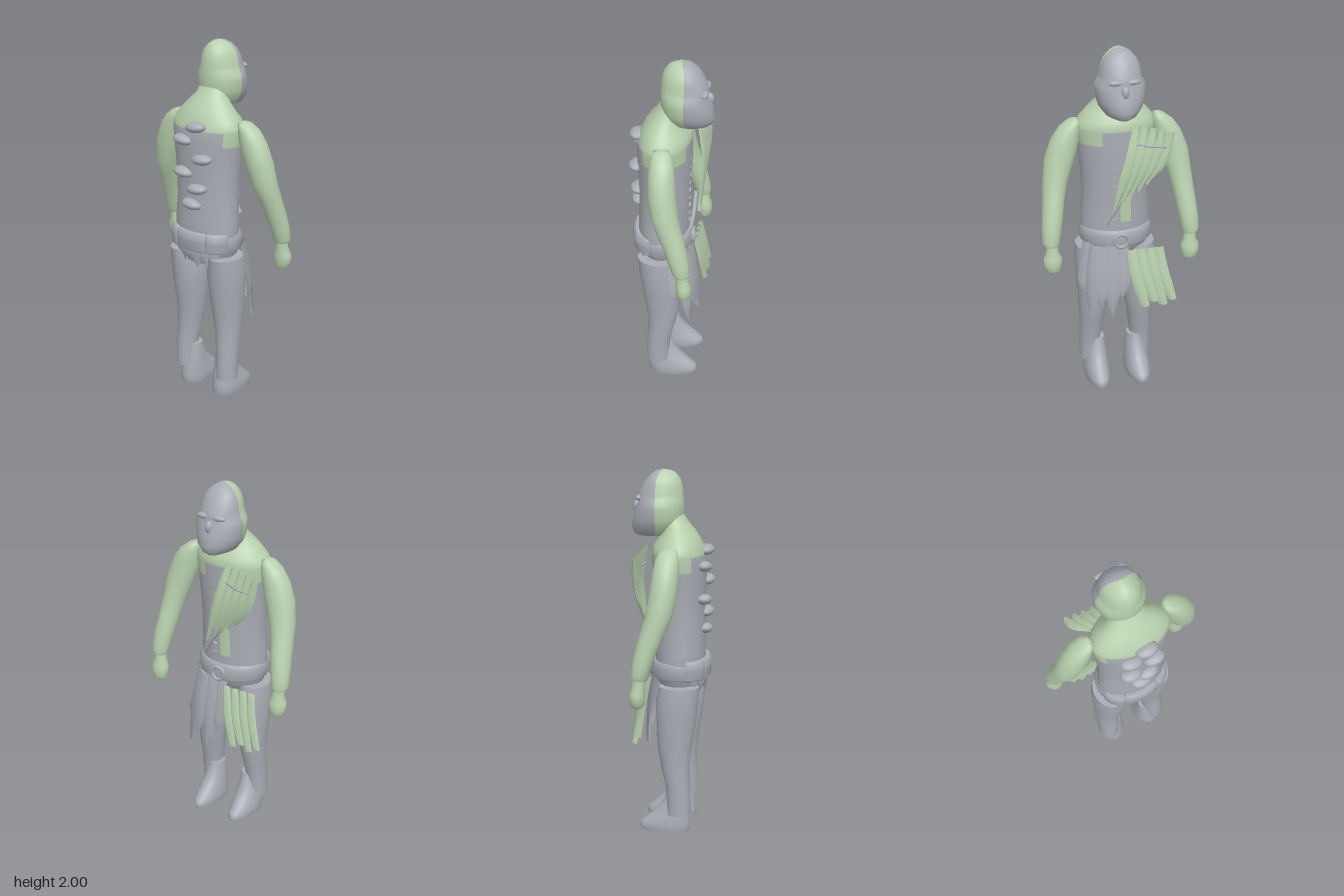
import * as THREE from 'three';

const skin = new THREE.MeshStandardMaterial({ color: 0xb9d1ae, side: THREE.DoubleSide });
skin.name = 'pale green';
const cloth = new THREE.MeshStandardMaterial({ color: 0xa9adb4, side: THREE.DoubleSide });
cloth.name = 'grey';

const mesh = (name, geo, mat, parent) => {
  const m = new THREE.Mesh(geo, mat);
  m.name = name;
  parent.add(m);
  return m;
};

// Body form through elliptical sections [y, cx, cz, rx, rz toward -z, rz toward +z];
// paint(angle, y) picks material 0 or 1 for each face
function loft(sections, paint = () => 0, n = 32) {
  const s = [...sections].sort((a, b) => a[0] - b[0]);
  const pos = [], faces = [[], []];
  const ring = ([y, cx, cz, rx, rf, rb = rf]) => {
    for (let j = 0; j < n; j++) {
      const a = (j / n) * Math.PI * 2, sn = Math.sin(a);
      pos.push(cx + rx * Math.cos(a), y, cz + (sn < 0 ? rf : rb) * sn);
    }
  };
  s.forEach(ring);
  for (let i = 0; i < s.length - 1; i++) for (let j = 0; j < n; j++) {
    const k = (j + 1) % n, A = i * n + j, B = i * n + k, C = A + n, D = B + n;
    faces[paint(((j + 0.5) / n) * Math.PI * 2, (s[i][0] + s[i + 1][0]) / 2)].push(A, C, B, B, C, D);
  }
  // flat end caps on their own vertices
  [s[0], s[s.length - 1]].forEach((sec, top) => {
    const base = pos.length / 3;
    ring(sec);
    pos.push(sec[1], sec[0], sec[2]);
    for (let j = 0; j < n; j++) {
      const k = (j + 1) % n;
      faces[paint(((j + 0.5) / n) * Math.PI * 2, sec[0])].push(base + n, ...(top ? [base + k, base + j] : [base + j, base + k]));
    }
  });
  const g = new THREE.BufferGeometry();
  g.setAttribute('position', new THREE.Float32BufferAttribute(pos, 3));
  g.setIndex([...faces[0], ...faces[1]]);
  g.addGroup(0, faces[0].length, 0);
  g.addGroup(faces[0].length, faces[1].length, 1);
  g.computeVertexNormals();
  return g;
}

// Folded hanging strip along a bent path, widths given along its length
function strip(from, mid, to, side, widths, fold) {
  const rows = 10, pos = [], idx = [];
  const path = new THREE.CatmullRomCurve3([from, mid, to].map(p => new THREE.Vector3(...p)));
  const across = new THREE.Vector3(...side).normalize();
  for (let i = 0; i <= rows; i++) {
    const t = i / rows, p = path.getPoint(t), f = t * (widths.length - 1);
    const q = Math.min(Math.floor(f), widths.length - 2);
    const w = THREE.MathUtils.lerp(widths[q], widths[q + 1], f - q);
    const out = new THREE.Vector3().crossVectors(across, path.getTangent(t)).normalize();
    if (out.z > 0) out.negate();
    [-0.5, 0, 0.5].forEach(u => {
      const v = p.clone().addScaledVector(across, u * w).addScaledVector(out, u ? 0 : fold);
      pos.push(v.x, v.y, v.z);
    });
    if (i) for (let c = 0; c < 2; c++) {
      const a = (i - 1) * 3 + c;
      idx.push(a, a + 3, a + 1, a + 1, a + 3, a + 4);
    }
  }
  const g = new THREE.BufferGeometry();
  g.setAttribute('position', new THREE.Float32BufferAttribute(pos, 3));
  g.setIndex(idx);
  g.computeVertexNormals();
  return g;
}

export function createModel() {
  const root = new THREE.Group();
  root.name = 'figure';

  // Head: green behind, grey mask on the face side
  mesh('head', loft([
    [1.645, 0, -0.09, 0.05, 0.1, 0.04], [1.66, 0, -0.08, 0.085, 0.13, 0.08],
    [1.7, 0, -0.075, 0.115, 0.148, 0.12], [1.74, 0, -0.075, 0.128, 0.135, 0.135],
    [1.79, 0, -0.075, 0.133, 0.13, 0.138], [1.82, 0, -0.075, 0.131, 0.112, 0.138],
    [1.845, 0, -0.075, 0.116, 0.115, 0.136], [1.87, 0, -0.075, 0.108, 0.107, 0.134],
    [1.91, 0, -0.075, 0.103, 0.09, 0.13], [1.95, 0, -0.072, 0.087, 0.068, 0.115],
    [1.98, 0, -0.065, 0.058, 0.045, 0.085], [1.994, 0, -0.055, 0.032, 0.03, 0.05],
    [2.0, 0, -0.05, 0.005, 0.005, 0.005],
  ], a => (a > Math.PI ? 1 : 0), 40), [skin, cloth], root);
  const nose = mesh('nose', new THREE.SphereGeometry(1, 16, 12), cloth, root);
  nose.scale.set(0.022, 0.035, 0.025);
  nose.position.set(0, 1.8, -0.19);
  for (const s of [-1, 1]) {
    const brow = mesh('brow', new THREE.SphereGeometry(1, 16, 10), cloth, root);
    brow.scale.set(0.04, 0.016, 0.02);
    brow.position.set(s * 0.045, 1.85, -0.172);
  }

  // Torso: grey vest below, bare shoulders and neck above
  const vest = (a, y) => {
    const x = Math.cos(a), front = Math.sin(a) < 0;
    if (front && y > 1.08 && y < 1.28 && x < 0.05 && x > -0.35) return 0;
    return y < (Math.abs(x) > 0.8 || (front && Math.abs(x) > 0.5) ? 1.49 : 1.555) ? 1 : 0;
  };
  mesh('torso', loft([
    [0.79, 0, 0.05, 0.13, 0.08, 0.1], [0.85, 0, 0.05, 0.18, 0.13, 0.12],
    [0.93, 0, 0.06, 0.195, 0.15, 0.125], [1.02, 0, 0.06, 0.195, 0.15, 0.125],
    [1.15, 0, 0.055, 0.185, 0.15, 0.125], [1.28, 0, 0.05, 0.19, 0.15, 0.13],
    [1.4, 0, 0.05, 0.202, 0.155, 0.135], [1.47, 0, 0.05, 0.21, 0.155, 0.137],
    [1.51, 0, 0.05, 0.215, 0.155, 0.135], [1.55, 0, 0.05, 0.218, 0.155, 0.13],
    [1.565, 0, 0.05, 0.216, 0.155, 0.125], [1.6, 0, 0.05, 0.2, 0.15, 0.115],
    [1.64, 0, 0.045, 0.165, 0.115, 0.1], [1.68, 0, 0.035, 0.13, 0.085, 0.085],
    [1.72, 0, 0.02, 0.092, 0.07, 0.067], [1.78, 0, 0, 0.07, 0.06, 0.05],
  ], vest, 40), [skin, cloth], root);

  // Back studs
  [[0.026, 1.57], [-0.06, 1.49], [0.07, 1.4], [-0.06, 1.31], [0.035, 1.23], [0, 1.14]].forEach(([x, y], i) => {
    const stud = mesh('backStud', new THREE.SphereGeometry(1, 16, 10), cloth, root);
    stud.scale.set(0.063, 0.029, 0.045);
    stud.position.set(x, y, 0.18);
    stud.rotation.z = i % 2 ? -0.1 : 0.08;
  });

  // Front seam stitches
  for (let i = 0; i < 9; i++) {
    const stitch = mesh('stitch', new THREE.BoxGeometry(0.028, 0.008, 0.012), cloth, root);
    stitch.position.set(0.03, 1.04 + i * 0.05, -0.1);
    stitch.rotation.z = i % 2 ? 0.3 : -0.2;
  }

  // Belt, buckle and pouches
  mesh('belt', loft([
    [0.87, 0, 0.05, 0.18, 0.15, 0.13], [0.885, 0, 0.05, 0.2, 0.165, 0.14],
    [0.95, 0, 0.05, 0.205, 0.165, 0.145], [0.97, 0, 0.05, 0.19, 0.15, 0.135],
  ]), cloth, root);
  const buckle = mesh('buckle', new THREE.TorusGeometry(0.038, 0.01, 10, 24), cloth, root);
  buckle.position.set(0, 0.918, -0.117);
  const pouch = (x, z, w, d, turn) => {
    const p = mesh('beltPouch', loft([
      [-0.055, 0, 0, w * 0.85, d * 0.6], [-0.045, 0, 0, w, d * 0.9], [0.01, 0, 0, w, d],
      [0.015, 0, 0, w * 1.03, d * 1.05], [0.045, 0, 0, w, d * 0.9], [0.055, 0, 0, w * 0.85, d * 0.6],
    ]), cloth, root);
    p.position.set(x, 0.93, z);
    p.rotation.y = turn;
  };
  pouch(0, 0.18, 0.105, 0.037, 0);
  pouch(0.14, 0.14, 0.065, 0.035, 0.85);
  pouch(-0.14, 0.14, 0.065, 0.035, -0.85);

  // Ragged vest hem at the back
  for (let i = 0; i < 6; i++) {
    const x = -0.125 + i * 0.05, z = 0.185 - x * x * 2.5;
    mesh('vestHem', strip([x, 0.89, z], [x, 0.85, z], [x + 0.01, 0.785 + (i % 3) * 0.015, z - 0.01],
      [1, 0, -x * 4], [0.06, 0.055, 0.02], -0.006), cloth, root);
  }

  for (const s of [-1, 1]) {
    const name = s > 0 ? 'left' : 'right';
    const side = rows => rows.map(([y, x, ...r]) => [y, x * s, ...r]);
    mesh(name + 'Arm', loft(side([
      [1.605, 0.225, 0.02, 0.012, 0.02], [1.595, 0.232, 0.02, 0.034, 0.045], [1.56, 0.256, 0.015, 0.058, 0.06],
      [1.5, 0.28, 0.012, 0.077, 0.069], [1.4, 0.312, 0.005, 0.084, 0.073], [1.28, 0.342, -0.012, 0.07, 0.072],
      [1.2, 0.357, -0.038, 0.062, 0.067], [1.1, 0.372, -0.073, 0.058, 0.06], [1.02, 0.384, -0.096, 0.054, 0.054],
      [0.955, 0.39, -0.11, 0.048, 0.047], [0.935, 0.39, -0.113, 0.04, 0.04],
    ])), skin, root);
    mesh(name + 'Hand', loft(side([
      [0.96, 0.388, -0.113, 0.034, 0.034], [0.9, 0.386, -0.118, 0.034, 0.034], [0.865, 0.386, -0.123, 0.051, 0.04],
      [0.83, 0.388, -0.125, 0.05, 0.042], [0.795, 0.385, -0.125, 0.043, 0.038], [0.78, 0.383, -0.125, 0.028, 0.024],
    ]), () => 0, 24), skin, root);
    mesh(name + 'Leg', loft(side([
      [0.84, 0.143, 0.055, 0.08, 0.105, 0.115], [0.75, 0.132, 0.05, 0.1, 0.12, 0.115], [0.62, 0.132, 0.04, 0.093, 0.105, 0.11],
      [0.5, 0.133, 0.035, 0.083, 0.095, 0.095], [0.38, 0.14, 0.038, 0.07, 0.078, 0.078],
      [0.27, 0.147, 0.055, 0.062, 0.067], [0.17, 0.15, 0.06, 0.058, 0.065], [0.105, 0.15, 0.06, 0.058, 0.065],
    ])), cloth, root);
    mesh(name + 'Boot', loft(side([
      [0, 0.12, 0.02, 0.068, 0.18, 0.095], [0.02, 0.12, 0.02, 0.072, 0.188, 0.1], [0.045, 0.12, 0.02, 0.073, 0.178, 0.1],
      [0.08, 0.12, 0.03, 0.069, 0.145, 0.085], [0.12, 0.118, 0.04, 0.064, 0.112, 0.068],
      [0.17, 0.115, 0.045, 0.057, 0.078, 0.055], [0.24, 0.113, 0.045, 0.045, 0.055, 0.045],
    ])), cloth, root);
  }

  // Torn grey loincloth wrapping the front of the left leg
  [[-0.01, -0.1, 0.56], [0.05, -0.115, 0.45], [0.11, -0.11, 0.52], [0.165, -0.085, 0.44], [0.2, -0.035, 0.6]].forEach(([x, z, low]) => {
    mesh('loincloth', strip([x * 0.85, 0.89, z + 0.01], [x, 0.68, z - 0.02], [x + 0.01, low, z - 0.03],
      [1, 0, x > 0.15 ? 1 : x * 2], [0.07, 0.085, 0.08, 0.006], 0.018), cloth, root);
  });

  // Green leaf strips hanging from the belt on the right hip
  for (let i = 0; i < 4; i++) {
    const x = -0.055 - i * 0.052;
    mesh('hipLeaf', strip([x, 0.86, -0.115], [x - 0.025, 0.7, -0.145], [x - 0.07, 0.52 + (i % 2) * 0.025, -0.165],
      [1, 0, 0.1], [0.05, 0.06, 0.066, 0.05], 0.02), skin, root);
  }

  // Green leaf bundle across the chest, tied with a grey band
  for (let i = 0; i < 5; i++) {
    const x = -0.08 - i * 0.045;
    mesh('chestLeaf', strip([x, 1.6 - i * 0.012, -0.125 - i * 0.008], [x + 0.045, 1.4, -0.16], [0.05 - i * 0.045, 1.12 + i * 0.035, -0.145],
      [1, 0.25, 0.1], [0.035, 0.055, 0.06, 0.01], 0.018), skin, root);
  }
  const cord = (name, pts, r) => mesh(name, new THREE.TubeGeometry(
    new THREE.CatmullRomCurve3(pts.map(p => new THREE.Vector3(...p))), 16, r, 8), cloth, root);
  cord('leafTie', [[-0.05, 1.5, -0.14], [-0.14, 1.485, -0.172], [-0.23, 1.47, -0.165]], 0.006);
  cord('baton', [[-0.02, 1.2, -0.125], [0.035, 1.12, -0.125], [0.09, 1.03, -0.115]], 0.013);

  return root;
}
